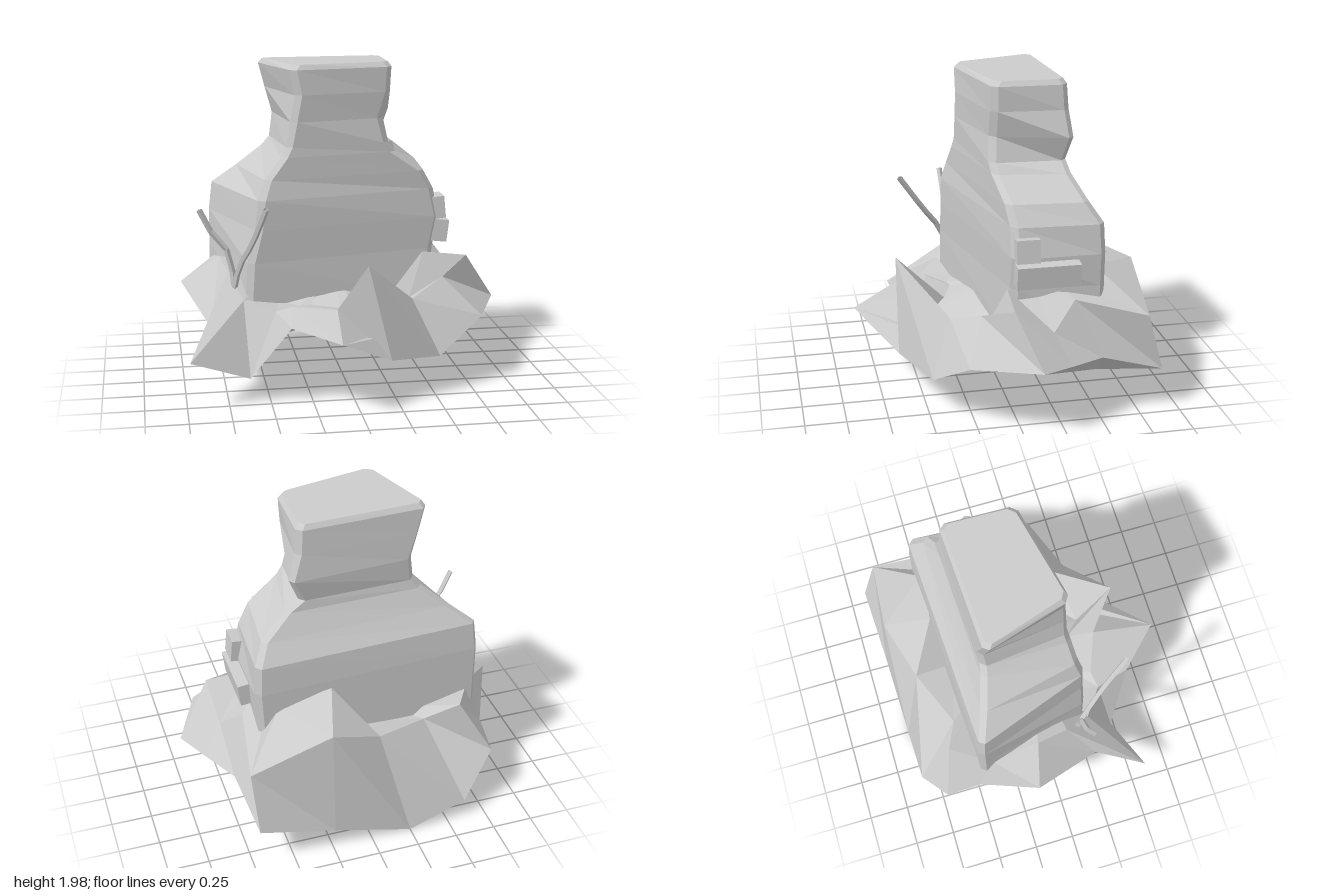
import * as THREE from 'three';

const material = new THREE.MeshStandardMaterial({ color: 0xcccccc, flatShading: true, side: THREE.DoubleSide });

function addMesh(parent, geometry, name) {
  const mesh = new THREE.Mesh(geometry, material);
  mesh.name = name;
  parent.add(mesh);
  return mesh;
}

// Faceted skin over a stack of rings (top to bottom), closed at both ends
function loft(rings) {
  const pos = [];
  const tri = (a, b, c) => {
    if (a.equals(b) || b.equals(c) || c.equals(a)) return;
    for (const p of [a, b, c]) pos.push(p.x, p.y, p.z);
  };
  const n = rings[0].length;
  const centre = (ring) => ring.reduce((s, p) => s.add(p), new THREE.Vector3()).divideScalar(n);
  const first = rings[0], last = rings[rings.length - 1];
  const top = centre(first), bottom = centre(last);
  for (let j = 0; j < n; j++) {
    const k = (j + 1) % n;
    tri(top, first[k], first[j]);
    for (let i = 0; i < rings.length - 1; i++) {
      const a = rings[i], b = rings[i + 1];
      tri(a[j], a[k], b[j]);
      tri(a[k], b[k], b[j]);
    }
    tri(bottom, last[j], last[k]);
  }
  const geometry = new THREE.BufferGeometry();
  geometry.setAttribute('position', new THREE.Float32BufferAttribute(pos, 3));
  geometry.computeVertexNormals();
  return geometry;
}

// Four corners with each one cut off
function chamferedRing(y, corners, cut) {
  const pts = corners.map(([x, z]) => new THREE.Vector3(x, y, z));
  const toward = (p, q) => p.clone().add(q.clone().sub(p).setLength(cut));
  return pts.flatMap((p, i) => [toward(p, pts[(i + 3) % 4]), toward(p, pts[(i + 1) % 4])]);
}

function createChimney() {
  // height, then front right, front left, back left, back right as [x, z]
  const levels = [
    [1.98, [0.28, 0.05], [-0.31, 0.18], [-0.47, -0.32], [0.29, -0.36]],
    [1.95, [0.30, 0.07], [-0.33, 0.20], [-0.49, -0.34], [0.31, -0.38]],
    [1.80, [0.29, 0.07], [-0.30, 0.20], [-0.45, -0.35], [0.32, -0.39]],
    [1.64, [0.24, 0.07], [-0.33, 0.20], [-0.40, -0.36], [0.37, -0.41]],
    [1.49, [0.28, 0.08], [-0.36, 0.20], [-0.42, -0.35], [0.30, -0.38]],
    [1.43, [0.32, 0.07], [-0.39, 0.21], [-0.47, -0.36], [0.39, -0.39]],
    [1.30, [0.51, 0.03], [-0.49, 0.23], [-0.63, -0.41], [0.55, -0.46]],
    [1.18, [0.58, 0.01], [-0.53, 0.26], [-0.79, -0.47], [0.61, -0.54]],
    [1.00, [0.62, 0.01], [-0.55, 0.26], [-0.81, -0.48], [0.62, -0.55]],
    [0.80, [0.58, 0.01], [-0.60, 0.26], [-0.81, -0.48], [0.61, -0.55]],
    [0.49, [0.55, 0.02], [-0.62, 0.26], [-0.81, -0.48], [0.60, -0.55]],
  ];
  return loft(levels.map(([y, ...corners]) => chamferedRing(y, corners, 0.035)));
}

function createMound() {
  // Three low points that carry the underside
  const leftFoot = [-0.18, 0.26, -0.55], rightFoot = [0.45, 0.31, 0.15], backFoot = [0.62, 0.26, -0.50];
  // Rim point, the crag above it, height where the ground meets the wall, foot below
  const spokes = [
    [[1.00, 0.44, -0.09], [0.79, 0.75, 0.04], 0.78, rightFoot],
    [[0.83, 0.43, 0.31], [0.60, 0.66, 0.20], 0.45, rightFoot],
    [[0.53, 0.24, 0.48], [0.38, 0.57, 0.35], 0.46, rightFoot],
    [[0.20, 0.28, 0.64], [0.06, 0.86, 0.63], 0.48, rightFoot],
    [[-0.13, 0.47, 0.88], [-0.10, 0.56, 0.48], 0.52, leftFoot],
    [[-0.39, 0.50, 0.62], [-0.36, 0.56, 0.38], 0.53, leftFoot],
    [[-0.62, 0.15, 0.46], [-0.46, 0.54, 0.40], 0.53, leftFoot],
    [[-0.98, 0.30, 0.57], [-0.64, 0.58, 0.27], 0.54, leftFoot],
    [[-0.84, 0.42, 0.27], [-0.72, 0.72, 0.10], 0.68, leftFoot],
    [[-1.00, 0.60, -0.16], [-0.76, 0.77, -0.10], 0.72, leftFoot],
    [[-0.84, 0.45, -0.50], [-0.78, 0.70, -0.40], 0.66, leftFoot],
    [[-0.83, 0.38, -0.72], [-0.63, 0.72, -0.64], 0.62, leftFoot],
    [[-0.61, 0.13, -0.85], [-0.43, 0.60, -0.56], 0.58, leftFoot],
    [[-0.25, 0.00, -0.86], [-0.09, 0.66, -0.71], 0.60, leftFoot],
    [[0.24, 0.14, -0.87], [0.24, 0.82, -0.82], 0.95, leftFoot],
    [[0.71, 0.27, -0.89], [0.73, 0.63, -0.79], 0.88, backFoot],
    [[0.76, 0.40, -0.50], [0.66, 0.74, -0.35], 0.84, backFoot],
    [[0.89, 0.42, -0.28], [0.77, 0.59, -0.20], 0.82, backFoot],
  ];
  const v = (p) => new THREE.Vector3(...p);
  const rim = spokes.map((s) => v(s[0]));
  const crags = spokes.map((s) => v(s[1]));
  const inner = crags.map((p, i) => new THREE.Vector3(p.x * 0.65, spokes[i][2], p.z * 0.65));
  const feet = spokes.map((s) => v(s[3]));
  return loft([inner, crags, rim, feet]);
}

export function createModel() {
  const model = new THREE.Group();
  model.name = 'ruinedChimney';
  addMesh(model, createMound(), 'rockyMound');
  addMesh(model, createChimney(), 'chimney');

  // Stones standing proud of the right wall: size, position, tilt
  const stones = [
    [[0.16, 0.14, 0.14], [0.58, 1.05, -0.07], 0.1],
    [[0.18, 0.14, 0.38], [0.59, 0.91, -0.19], -0.12],
  ];
  for (const [size, position, tilt] of stones) {
    const stone = addMesh(model, new THREE.BoxGeometry(...size), 'looseStone');
    stone.position.set(...position);
    stone.rotation.z = tilt;
  }

  // Bare twigs beside the front left corner
  const twigs = [
    [[-0.68, 0.30, 0.14], [-0.69, 0.65, 0.18], [-0.72, 0.86, 0.19], [-0.82, 0.99, 0.19], [-0.89, 1.13, 0.20]],
    [[-0.69, 0.62, 0.18], [-0.66, 0.78, 0.24], [-0.59, 0.95, 0.36], [-0.52, 1.19, 0.52]],
  ];
  for (const points of twigs) {
    const path = new THREE.CatmullRomCurve3(points.map((p) => new THREE.Vector3(...p)));
    addMesh(model, new THREE.TubeGeometry(path, 6, 0.018, 4), 'twig');
  }
  return model;
}
